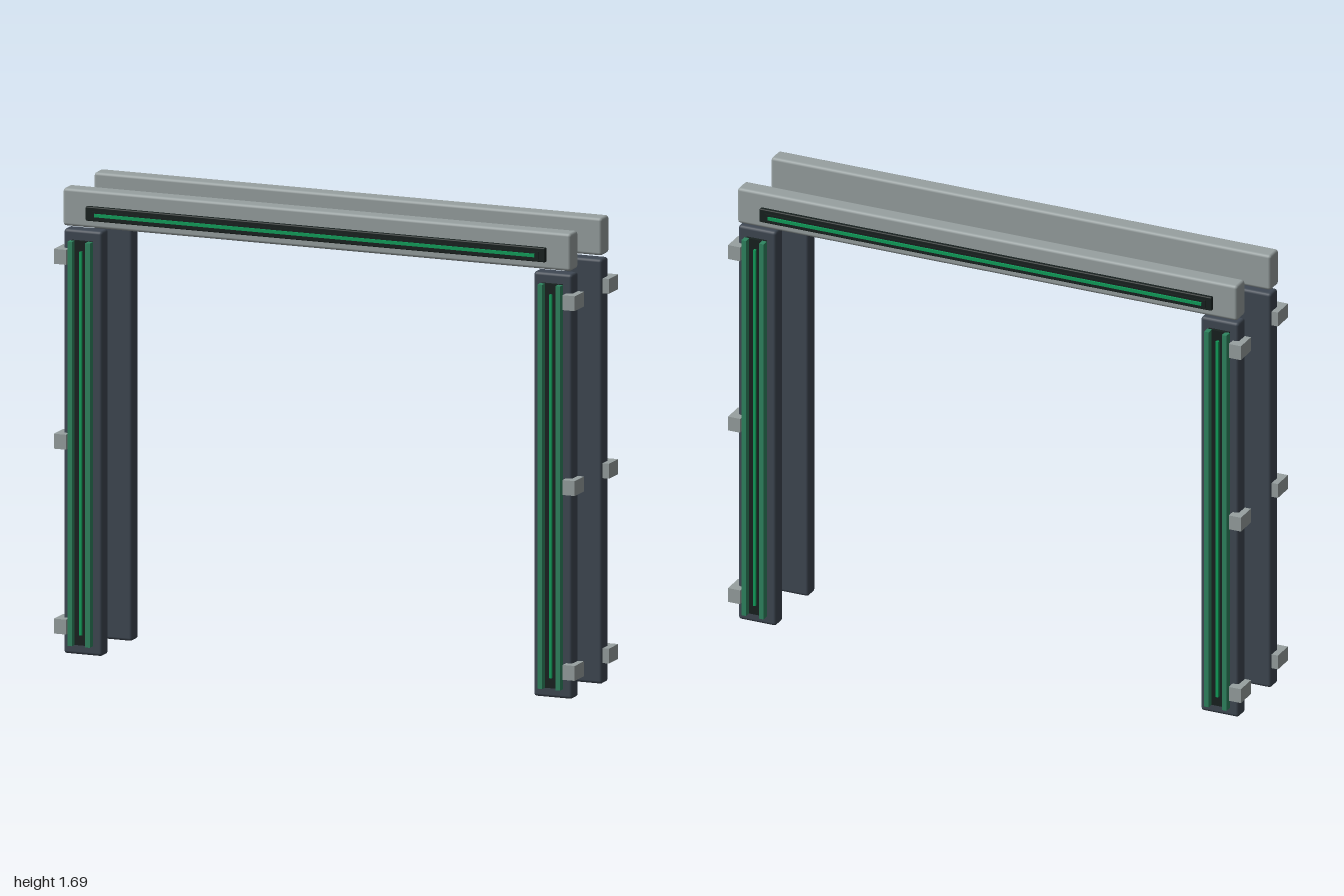
import * as THREE from 'three';
import { RoundedBoxGeometry } from 'three/addons/geometries/RoundedBoxGeometry.js';

const material = (name, color) => {
  const m = new THREE.MeshStandardMaterial({ color });
  m.name = name;
  return m;
};

export function createModel() {
  const lightGrey = material('light grey', 0x98a1a1);
  const slate = material('slate', 0x3f4853);
  const black = material('greenish black', 0x18211f);
  const railGreen = material('rail green', 0x2f8560);
  const glowGreen = material('bright green', 0x10a05c);

  // Box given by its limits on each axis; a bevel softens the edges
  const box = (parent, name, mat, [x0, x1], [y0, y1], [z0, z1], bevel = 0) => {
    const size = [x1 - x0, y1 - y0, z1 - z0];
    const geometry = bevel
      ? new RoundedBoxGeometry(...size, 2, bevel)
      : new THREE.BoxGeometry(...size);
    const mesh = new THREE.Mesh(geometry, mat);
    mesh.name = name;
    mesh.position.set((x0 + x1) / 2, (y0 + y1) / 2, (z0 + z1) / 2);
    parent.add(mesh);
  };

  // One face of the doorway, on the +z side
  const createFrame = () => {
    const frame = new THREE.Group();

    // Lintel with its recessed light strip
    box(frame, 'lintel', lightGrey, [-0.975, 0.975], [1.55, 1.686], [0.106, 0.175], 0.011);
    box(frame, 'lintelPanel', black, [-0.882, 0.882], [1.578, 1.63], [0.17, 0.189], 0.004);
    box(frame, 'lintelLightMount', black, [-0.86, 0.86], [1.588, 1.616], [0.185, 0.194]);
    box(frame, 'lintelLight', glowGreen, [-0.845, 0.845], [1.596, 1.608], [0.19, 0.199]);

    for (const side of [-1, 1]) {
      const span = (a, b) => (side > 0 ? [a, b] : [-b, -a]);
      const post = new THREE.Group();
      post.name = side > 0 ? 'leftPost' : 'rightPost';

      // Upright with a dark channel
      box(post, 'upright', slate, span(0.828, 0.976), [0, 1.537], [0.106, 0.165], 0.011);
      box(post, 'channel', black, span(0.862, 0.942), [0.037, 1.5], [0.16, 0.178]);

      // Guide rails and the light line between them
      for (const x of [0.868, 0.937]) {
        box(post, 'guideRail', railGreen, span(x - 0.009, x + 0.009), [0.037, 1.5], [0.174, 0.202]);
      }
      box(post, 'postLight', glowGreen, span(0.897, 0.907), [0.075, 1.463], [0.176, 0.187]);

      // Outer clamps
      for (const y of [0.103, 0.772, 1.441]) {
        box(post, 'clamp', lightGrey, span(0.953, 1), [y - 0.027, y + 0.027], [0.113, 0.197]);
      }
      frame.add(post);
    }
    return frame;
  };

  const model = new THREE.Group();
  model.name = 'doorFrame';
  const front = createFrame();
  front.name = 'frontFrame';
  const back = createFrame();
  back.name = 'backFrame';
  back.rotation.y = Math.PI;
  model.add(front, back);
  return model;
}
